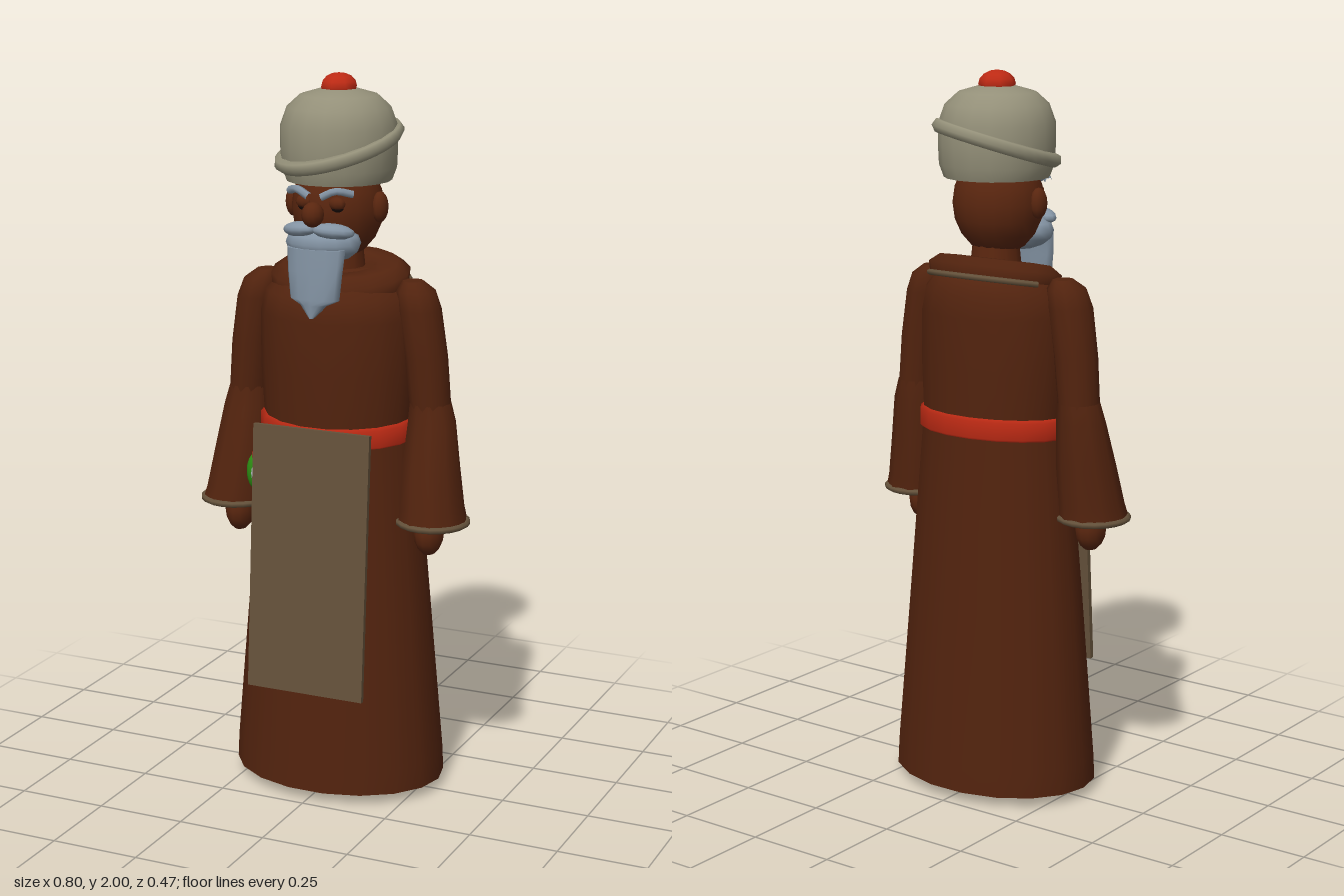
import * as THREE from 'three';

const mat = (name, color, side = THREE.FrontSide) => {
  const m = new THREE.MeshStandardMaterial({ color, side });
  m.name = name;
  return m;
};

// Smooth skin through elliptical rings [y, centreX, centreZ, radiusX, radiusZ], listed bottom to top
function loft(rings, n = 16, capped = true) {
  const pos = [], idx = [];
  const put = ([y, cx, cz, rx, rz]) => {
    for (let j = 0; j < n; j++) {
      const t = (j / n) * Math.PI * 2;
      pos.push(cx + Math.cos(t) * rx, y, cz + Math.sin(t) * rz);
    }
  };
  rings.forEach(put);
  for (let i = 0; i < rings.length - 1; i++) {
    for (let j = 0; j < n; j++) {
      const k = (j + 1) % n, a = i * n + j, b = i * n + k;
      idx.push(a, a + n, b, b, a + n, b + n);
    }
  }
  if (capped) {
    [rings[0], rings[rings.length - 1]].forEach((r, top) => {
      const s = pos.length / 3;
      put(r);
      pos.push(r[1], r[0], r[2]);
      for (let j = 0; j < n; j++) {
        const k = (j + 1) % n;
        if (top) idx.push(s + n, s + k, s + j);
        else idx.push(s + n, s + j, s + k);
      }
    });
  }
  const g = new THREE.BufferGeometry();
  g.setAttribute('position', new THREE.Float32BufferAttribute(pos, 3));
  g.setIndex(idx);
  g.computeVertexNormals();
  return g;
}

export function createModel() {
  const model = new THREE.Group();
  model.name = 'robedElder';

  const robe = mat('robe brown', 0x52230e, THREE.DoubleSide);
  const skin = mat('skin brown', 0x5a260f);
  const red = mat('red', 0xbd2a14);
  const cloth = mat('turban cloth', 0x949079);
  const hair = mat('grey hair', 0x8494a4);
  const trim = mat('trim tan', 0x65523b, THREE.DoubleSide);
  const green = mat('green', 0x2c8c12);
  const white = mat('white', 0xc4c8d0);
  const dark = mat('eye dark', 0x1a0c08);

  const add = (name, geo, material, parent = model) => {
    const m = new THREE.Mesh(geo, material);
    m.name = name;
    parent.add(m);
    return m;
  };
  const blob = (name, material, [x, y, z], [rx, ry, rz], seg = 12) => {
    const m = add(name, new THREE.SphereGeometry(1, seg, Math.max(8, seg * 0.6 | 0)), material);
    m.position.set(x, y, z);
    m.scale.set(rx, ry, rz);
    return m;
  };
  const tube = (name, material, points, r, closed = false, seg = 16) =>
    add(name, new THREE.TubeGeometry(
      new THREE.CatmullRomCurve3(points.map(p => new THREE.Vector3(...p)), closed), seg, r, 6, closed), material);
  const ring = (n, f) => Array.from({ length: n }, (_, i) => f((i / n) * Math.PI * 2));

  // Robe
  add('skirt', loft([
    [0.03, 0, -0.003, 0.305, 0.235], [0.1, 0, -0.003, 0.302, 0.231],
    [0.55, 0, 0, 0.262, 0.205], [1.04, 0, 0, 0.217, 0.176],
  ], 18), robe);
  add('torso', loft([
    [1.03, 0, 0, 0.212, 0.174], [1.2, 0, 0.003, 0.222, 0.178], [1.35, 0, 0.004, 0.222, 0.177],
    [1.41, 0, 0.002, 0.208, 0.168], [1.45, 0, -0.01, 0.17, 0.135], [1.48, 0, -0.02, 0.1, 0.08],
  ], 18), robe);

  // Hood collar, lower at the front, with a lined edge
  const lean = g => {
    const p = g.attributes.position;
    for (let i = 0; i < p.count; i++) p.setY(i, p.getY(i) - p.getZ(i) * 0.2);
    g.computeVertexNormals();
    return g;
  };
  add('collar', lean(loft([
    [1.435, 0, -0.005, 0.195, 0.145], [1.465, 0, -0.005, 0.198, 0.146],
    [1.488, 0, -0.005, 0.165, 0.12], [1.49, 0, 0, 0.11, 0.085], [1.46, 0, 0, 0.09, 0.07],
  ], 16, false)), robe);
  tube('collarTrim', trim, Array.from({ length: 9 }, (_, i) => {
    const t = Math.PI * (1.12 + 0.76 * i / 8);
    const z = -0.005 + Math.sin(t) * 0.148;
    return [Math.cos(t) * 0.195, 1.433 - z * 0.2, z];
  }), 0.008);

  // Sash
  const sash = loft([
    [1.012, 0, 0, 0.217, 0.174], [1.02, 0, 0, 0.226, 0.183],
    [1.066, 0, 0, 0.226, 0.183], [1.076, 0, 0, 0.212, 0.172],
  ], 18);
  const sp = sash.attributes.position;
  for (let i = 0; i < sp.count; i++) sp.setY(i, sp.getY(i) - sp.getZ(i) * 0.06);
  add('sash', sash, red);
  add('sashEnd', new THREE.BoxGeometry(0.05, 0.18, 0.012), red).position.set(-0.1, 0.93, 0.18);

  // Apron
  const apron = add('apron', new THREE.BoxGeometry(0.345, 0.742, 0.014), trim);
  apron.position.set(0, 0.69, 0.206);
  apron.rotation.x = -0.066;

  // Trinkets hanging from the sash
  blob('greenCharm', green, [-0.212, 0.9, 0.105], [0.022, 0.05, 0.022]);
  blob('whiteCharm', white, [-0.178, 0.905, 0.14], [0.026, 0.035, 0.02]);
  blob('redCharm', red, [-0.2, 0.95, 0.11], [0.016, 0.022, 0.018], 8);

  // Arms and feet
  for (const s of [1, -1]) {
    const side = s > 0 ? 'left' : 'right';
    const place = rings => rings.map(([y, x, ...rest]) => [y, x * s, ...rest]);
    add(side + 'UpperSleeve', loft(place([
      [1.07, 0.277, 0.005, 0.055, 0.058], [1.25, 0.26, 0.008, 0.058, 0.064], [1.38, 0.24, 0.01, 0.058, 0.068],
      [1.43, 0.228, 0.008, 0.052, 0.058], [1.455, 0.218, 0.005, 0.028, 0.03],
    ]), 12), robe);
    add(side + 'LowerSleeve', loft(place([
      [0.8, 0.298, 0.042, 0.096, 0.1], [0.84, 0.293, 0.038, 0.09, 0.095], [0.95, 0.284, 0.025, 0.08, 0.085],
      [1.07, 0.278, 0.008, 0.067, 0.068], [1.125, 0.272, 0.005, 0.057, 0.06],
    ]), 10, false), robe);
    tube(side + 'Cuff', trim, ring(10, t =>
      [s * 0.298 + Math.cos(t) * 0.094, 0.802, 0.042 + Math.sin(t) * 0.096]), 0.009, true, 20);
    blob(side + 'Hand', skin, [s * 0.288, 0.768, 0.045], [0.04, 0.063, 0.05]);
    add(side + 'Wrist', new THREE.CylinderGeometry(0.03, 0.03, 0.2, 8), skin)
      .position.set(s * 0.288, 0.89, 0.035);
    blob(side + 'Shoe', red, [s * 0.11, 0.035, 0.05], [0.055, 0.035, 0.085]);

    // Paired face parts
    blob(side + 'Ear', skin, [s * 0.127, 1.65, 0.02], [0.022, 0.042, 0.028]);
    blob(side + 'Eye', dark, [s * 0.048, 1.66, 0.122], [0.02, 0.016, 0.012], 8);
    blob(side + 'Eyelid', skin, [s * 0.048, 1.668, 0.123], [0.025, 0.018, 0.015], 8);
    tube(side + 'Eyebrow', hair, [[s * 0.018, 1.688, 0.158], [s * 0.055, 1.705, 0.15], [s * 0.092, 1.695, 0.118]], 0.011, false, 6);
    const half = blob(side + 'Moustache', hair, [s * 0.048, 1.598, 0.148], [0.058, 0.021, 0.032]);
    half.rotation.set(0, s * 0.4, s * -0.1);
  }

  // Head
  add('neck', new THREE.CylinderGeometry(0.06, 0.075, 0.14, 12), skin).position.set(0, 1.5, 0);
  blob('head', skin, [0, 1.645, 0.012], [0.125, 0.145, 0.125], 18);
  blob('nose', skin, [0, 1.643, 0.172], [0.03, 0.034, 0.032]);
  blob('jawBeard', hair, [0, 1.56, 0.105], [0.106, 0.055, 0.078], 14);
  add('longBeard', loft([
    [1.365, 0, 0.182, 0.006, 0.004], [1.4, 0, 0.165, 0.04, 0.024], [1.415, 0, 0.16, 0.072, 0.03],
    [1.49, 0, 0.158, 0.08, 0.03], [1.55, 0, 0.15, 0.085, 0.035],
  ], 12), hair);

  // Turban with a slanted roll
  add('turban', loft([
    [1.715, 0, 0.005, 0.143, 0.146], [1.75, 0, 0.005, 0.156, 0.158], [1.8, 0, 0.005, 0.158, 0.161],
    [1.86, 0, 0.005, 0.158, 0.161], [1.91, 0, 0.005, 0.14, 0.143], [1.942, 0, 0.005, 0.105, 0.107],
    [1.958, 0, 0.005, 0.05, 0.05], [1.96, 0, 0.005, 0.01, 0.01],
  ], 18), cloth);
  tube('turbanRoll', cloth, ring(18, t => {
    const x = Math.cos(t) * 0.155, z = Math.sin(t) * 0.158;
    return [x, 1.805 + x * 0.2 - z * 0.24, z + 0.005];
  }), 0.02, true, 36);
  blob('turbanButton', red, [0, 1.963, 0.005], [0.051, 0.037, 0.051], 8);

  return model;
}
